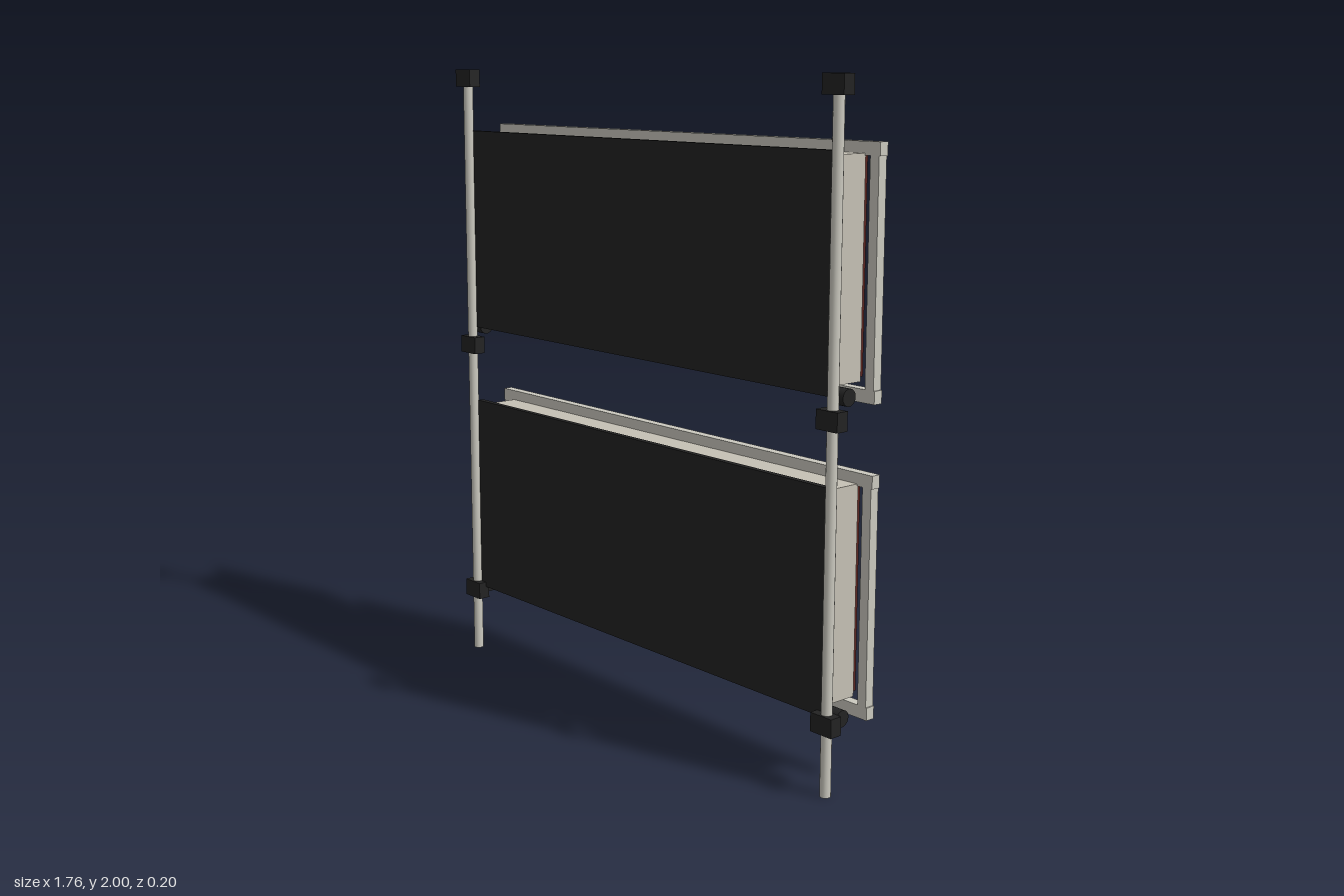
import * as THREE from 'three';

const mat = (color) => new THREE.MeshStandardMaterial({ color });

export function createModel() {
  const root = new THREE.Group();
  root.name = 'bunkRack';
  const steel = mat(0xcccac0), linen = mat(0xc6c1b5), black = mat(0x222222);
  const red = mat(0x5a2520), wood = mat(0x8a6030), grey = mat(0xb2b0aa);
  const white = mat(0xd0d0cc), buckle = mat(0xaaaaaa);

  const add = (parent, name, geo, material, x, y, z) => {
    const m = new THREE.Mesh(geo, material);
    m.name = name;
    m.position.set(x, y, z);
    parent.add(m);
    return m;
  };
  // box given by its limits on each axis
  const box = (parent, name, material, [x0, x1], [y0, y1], [z0, z1]) =>
    add(parent, name, new THREE.BoxGeometry(x1 - x0, y1 - y0, z1 - z0), material,
      (x0 + x1) / 2, (y0 + y1) / 2, (z0 + z1) / 2);

  // upright posts with clamp blocks
  for (const s of [-1, 1]) {
    add(root, 'post', new THREE.CylinderGeometry(0.016, 0.016, 1.99, 16), steel, s * 0.843, 0.995, 0.08);
    for (const y of [0.215, 1.08, 1.972]) {
      add(root, 'postClamp', new THREE.BoxGeometry(0.08, 0.056, 0.04), black, s * 0.841, y, 0.082);
    }
  }

  // one folded-up bunk; heights are for the upper one
  const makeBunk = () => {
    const bunk = new THREE.Group();
    bunk.name = 'bunk';
    box(bunk, 'frontPanel', black, [-0.825, 0.825], [1.14, 1.80], [0.056, 0.075]);
    box(bunk, 'mattress', linen, [-0.807, 0.807], [1.163, 1.787], [-0.066, 0.056]);

    // frame behind the mattress
    for (const y of [1.125, 1.8]) {
      box(bunk, 'frameRail', steel, [-0.863, 0.863], [y - 0.019, y + 0.019], [-0.092, -0.062]);
    }
    for (const s of [-1, 1]) {
      add(bunk, 'frameEnd', new THREE.BoxGeometry(0.032, 0.65, 0.03), steel, s * 0.843, 1.462, -0.077);
      // hinge barrels
      const hinge = add(bunk, 'hinge', new THREE.CylinderGeometry(0.025, 0.025, 0.052, 20), black, s * 0.841, 1.14, 0.042);
      hinge.rotation.z = Math.PI / 2;
    }

    // bedding
    box(bunk, 'blanket', red, [-0.4, 0.8], [1.175, 1.785], [-0.082, -0.064]);
    box(bunk, 'foldedSheet', grey, [-0.41, -0.225], [1.18, 1.786], [-0.085, -0.064]);
    const dome = new THREE.SphereGeometry(1, 8, 6, 0, Math.PI * 2, 0, Math.PI / 2);
    dome.rotateY(Math.PI / 8);
    dome.rotateX(-Math.PI / 2);
    dome.scale(0.13, 0.145, 0.027);
    add(bunk, 'pillow', dome, white, -0.63, 1.495, -0.065);

    // holding straps with buckles
    for (const x of [-0.43, 0.556]) {
      box(bunk, 'strap', wood, [x - 0.012, x + 0.012], [1.15, 1.805], [-0.097, -0.085]);
      box(bunk, 'buckle', buckle, [x - 0.023, x + 0.023], [1.445, 1.482], [-0.102, -0.084]);
    }
    return bunk;
  };

  for (const [name, y] of [['upperBunk', 0], ['lowerBunk', -0.913]]) {
    const bunk = makeBunk();
    bunk.name = name;
    bunk.position.y = y;
    root.add(bunk);
  }
  return root;
}
